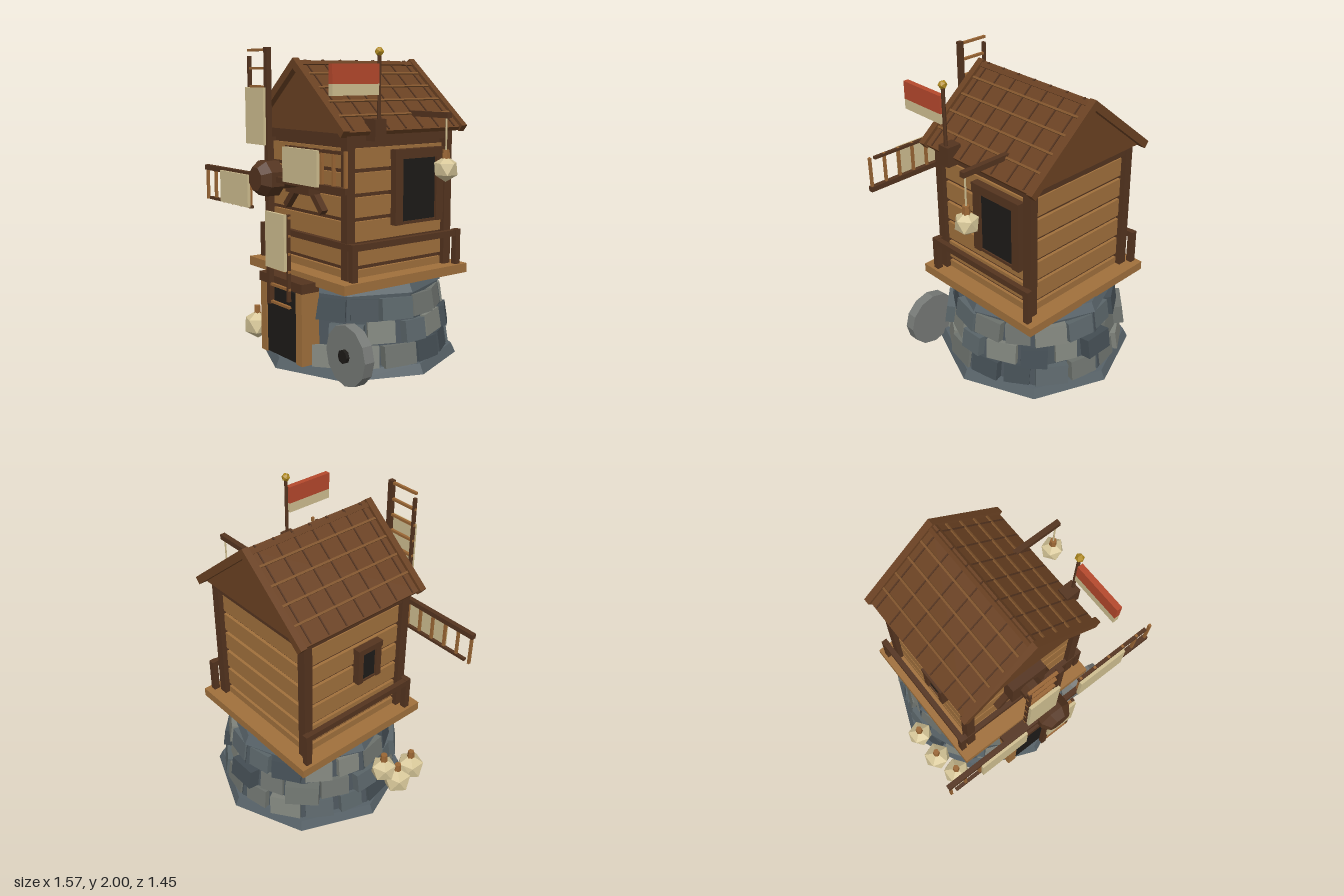
import * as THREE from 'three';

const C = {
  plank: 0xa0703c, dark: 0x54341f, roof: 0x6a4122, strip: 0x80542c, rung: 0x9a6634, canvas: 0xcfbe90,
  red: 0xb5482c, gold: 0xb08a20, black: 0x1d1b18, wall: 0x4b555b, plinth: 0x566167,
  stones: [0x80847c, 0x5c676b, 0x6f746f, 0x454f55], gourd: 0xd6c698, mill: 0x777a77,
};
const mats = {};
const mat = (c) => (mats[c] ??= new THREE.MeshStandardMaterial({ color: c, flatShading: true }));

function add(parent, name, color, geo, x = 0, y = 0, z = 0) {
  const m = new THREE.Mesh(geo, mat(color));
  m.name = name;
  m.position.set(x, y, z);
  parent.add(m);
  return m;
}
// Box given by its limits on each axis
function box(parent, name, color, x0, x1, y0, y1, z0, z1) {
  return add(parent, name, color, new THREE.BoxGeometry(x1 - x0, y1 - y0, z1 - z0),
    (x0 + x1) / 2, (y0 + y1) / 2, (z0 + z1) / 2);
}
const cyl = (rt, rb, h, n) => new THREE.CylinderGeometry(rt, rb, h, n);
function group(parent, name) {
  const g = new THREE.Group();
  g.name = name;
  parent.add(g);
  return g;
}

function gourd(parent, name, x, y, z, r) {
  const g = group(parent, name);
  g.position.set(x, y, z);
  // one corner points straight up
  const body = new THREE.IcosahedronGeometry(r, 0).rotateZ(-Math.atan(2 / (1 + Math.sqrt(5))));
  add(g, 'gourdBody', C.gourd, body);
  add(g, 'gourdStem', C.rung, cyl(0.022, 0.026, 0.06, 6), 0, r + 0.005, 0);
}

function stoneBase(root) {
  const g = group(root, 'stoneBase');
  g.position.z = -0.06;
  add(g, 'plinth', C.plinth, cyl(0.63, 0.66, 0.062, 8), 0, 0.031, 0);
  add(g, 'baseWall', C.wall, cyl(0.53, 0.598, 0.44, 8), 0, 0.28, 0);
  add(g, 'baseCap', C.plinth, cyl(0.52, 0.552, 0.06, 8), 0, 0.53, 0);
  // three staggered courses that follow the octagon
  const n = 16;
  for (let row = 0; row < 3; row++) {
    for (let i = 0; i < n; i++) {
      const a = ((i + (row % 2 ? 0 : 0.5)) / n) * Math.PI * 2;
      const y = 0.12 + row * 0.143;
      const k = (i * 7 + row * 5 + ((i * i) % 3)) % 11;
      const local = (a % (Math.PI / 4)) - Math.PI / 8;
      const r = (0.598 - 0.155 * (y - 0.06)) * Math.cos(Math.PI / 8) / Math.cos(local) + 0.002 * k - 0.025;
      const x = Math.sin(a) * r, z = Math.cos(a) * r;
      if (z > 0 && Math.abs(x) < 0.27) continue; // doorway
      const s = add(g, 'stone', C.stones[k % 4],
        new THREE.BoxGeometry(0.15 + 0.007 * k, 0.135, 0.09), x, y, z);
      s.rotation.set(-0.15, a, ((k % 3) - 1) * 0.03, 'YXZ');
    }
  }
}

function door(root) {
  const g = group(root, 'door');
  for (const s of [-1, 1])
    add(g, 'doorPost', C.plank, new THREE.BoxGeometry(0.065, 0.46, 0.13), s * 0.2, 0.29, 0.49);
  box(g, 'doorLintel', C.dark, -0.24, 0.24, 0.52, 0.58, 0.43, 0.56);
  box(g, 'doorOpening', C.black, -0.17, 0.17, 0.064, 0.505, 0.4, 0.546);
}

function house(root) {
  const g = group(root, 'house');
  g.position.z = -0.05;
  box(g, 'platform', C.plank, -0.53, 0.53, 0.555, 0.615, -0.505, 0.505);
  box(g, 'houseCore', C.dark, -0.4, 0.4, 0.615, 1.5, -0.37, 0.37);
  box(g, 'bottomPlank', C.plank, -0.42, 0.42, 0.615, 0.663, -0.39, 0.39);
  for (let i = 0; i < 5; i++) {
    const y = 0.69 + i * 0.148;
    box(g, 'wallPlank', C.plank, -0.42, 0.42, y, y + 0.122, -0.39, 0.39);
  }
  box(g, 'topBeam', C.dark, -0.445, 0.445, 1.435, 1.5, -0.42, 0.42);
  for (const x of [-1, 1]) {
    for (const z of [-1, 1]) {
      add(g, 'cornerPost', C.dark, new THREE.BoxGeometry(0.06, 0.885, 0.06), x * 0.422, 1.057, z * 0.395);
      add(g, 'railPost', C.dark, new THREE.BoxGeometry(0.04, 0.23, 0.04), x * 0.49, 0.73, z > 0 ? 0.41 : -0.44);
    }
    add(g, 'sideRail', C.dark, new THREE.BoxGeometry(0.036, 0.04, 0.89), x * 0.49, 0.822, -0.015);
  }
  box(g, 'frontRail', C.dark, -0.51, 0.51, 0.802, 0.842, 0.395, 0.43);
}

// Window on a side wall; s is the side, w and h the outer size, t the frame width
function sideWindow(root, name, s, y, z, w, h, t) {
  const g = group(root, name);
  g.position.set(s * 0.43, y, z);
  for (const k of [-1, 1]) {
    add(g, 'windowJamb', C.dark, new THREE.BoxGeometry(0.075, h, t), 0, 0, k * (w - t) / 2);
  }
  add(g, 'windowLintel', C.dark, new THREE.BoxGeometry(0.085, t, w + 0.01), 0, (h - t) / 2, 0);
  add(g, 'windowSill', C.dark, new THREE.BoxGeometry(0.06, t * 0.3, w), 0, -h / 2 + t * 0.15, 0);
  add(g, 'windowOpening', C.black, new THREE.BoxGeometry(0.04, h - t, w - 2 * t), 0, -t / 2 + 0.005, 0);
}

function roof(root) {
  const g = group(root, 'roof');
  g.position.z = -0.05;
  const tri = new THREE.Shape([[-0.46, 1.497], [0.46, 1.497], [0, 1.88]].map((p) => new THREE.Vector2(...p)));
  add(g, 'gable', C.roof, new THREE.ExtrudeGeometry(tri, { depth: 0.91, bevelEnabled: false }), 0, 0, -0.455);
  const L = 0.667;
  for (const turn of [0, Math.PI]) {
    const side = group(g, 'roofSide');
    side.rotation.y = turn;
    const slope = group(side, 'roofSlope');
    slope.position.y = 1.94;
    slope.rotation.z = -0.688;
    box(slope, 'roofPanel', C.roof, 0, L - 0.01, -0.05, -0.02, -0.48, 0.48);
    for (const z of [-1, 1])
      add(slope, 'bargeBoard', C.roof, new THREE.BoxGeometry(L, 0.05, 0.045), L / 2, -0.025, z * 0.475);
    // shingle courses and the seams between shingles
    for (let i = 1; i < 5; i++)
      box(slope, 'courseStrip', C.strip, i * 0.13 - 0.007, i * 0.13 + 0.007, -0.03, -0.011, -0.455, 0.455);
    for (let i = -3; i <= 3; i++)
      box(slope, 'seam', C.dark, 0, L - 0.02, -0.03, -0.013, i * 0.135 - 0.004, i * 0.135 + 0.004);
  }
}

function windmill(root) {
  const g = group(root, 'windmill');
  g.position.y = 1.215;
  box(g, 'axlePlate', C.dark, -0.13, 0.13, -0.115, 0.115, 0.34, 0.425);
  for (const s of [-1, 1]) {
    const b = add(g, 'axleBrace', C.dark, new THREE.BoxGeometry(0.04, 0.18, 0.05), s * 0.14, -0.15, 0.36);
    b.rotation.z = -s * -0.75;
  }
  const turned = (name, rf, rb, z0, z1) => {
    const m = add(g, name, C.dark, cyl(rf, rb, z1 - z0, 8).rotateY(Math.PI / 8), 0, 0, (z0 + z1) / 2);
    m.rotation.x = Math.PI / 2;
  };
  turned('axle', 0.075, 0.075, 0.4, 0.6);
  turned('hub', 0.115, 0.115, 0.585, 0.675);
  turned('hubNose', 0.075, 0.115, 0.675, 0.728);
  for (let i = 0; i < 4; i++) {
    const b = group(g, 'blade');
    b.rotation.z = (i * Math.PI) / 2;
    box(b, 'spar', C.dark, -0.017, 0.017, 0, 0.785, 0.612, 0.645);
    box(b, 'bladeRail', C.dark, -0.214, -0.196, 0.2, 0.735, 0.618, 0.64);
    for (let r = 0; r < 6; r++) {
      const y = 0.22 + r * 0.11;
      box(b, 'rung', C.rung, -0.216, 0.01, y - 0.008, y + 0.008, 0.62, 0.638);
    }
    box(b, 'sailCloth', C.canvas, -0.207, 0, 0.2, 0.545, 0.642, 0.662);
  }
}

function flag(root) {
  const g = group(root, 'flag');
  box(g, 'flagBracket', C.dark, 0.43, 0.533, 1.45, 1.58, 0.145, 0.23);
  add(g, 'flagPole', C.dark, cyl(0.012, 0.012, 0.46, 6), 0.513, 1.74, 0.185);
  add(g, 'poleBall', C.gold, new THREE.IcosahedronGeometry(0.029, 0), 0.513, 1.97, 0.185);
  box(g, 'flagRed', C.red, 0.495, 0.531, 1.785, 1.9, 0.2, 0.54);
  box(g, 'flagCream', C.canvas, 0.495, 0.531, 1.72, 1.785, 0.2, 0.54);
}

function hangingLantern(root) {
  const g = group(root, 'hangingLantern');
  box(g, 'lanternArm', C.dark, 0.36, 0.715, 1.58, 1.615, -0.213, -0.177);
  add(g, 'lanternRope', C.canvas, cyl(0.006, 0.006, 0.22, 5), 0.69, 1.48, -0.193);
  gourd(g, 'lantern', 0.69, 1.275, -0.193, 0.08);
}

function millstone(root) {
  const g = group(root, 'millstone');
  g.position.set(0.535, 0.192, 0.42);
  g.rotation.x = Math.PI / 2;
  add(g, 'millstoneDisc', C.mill, cyl(0.188, 0.188, 0.07, 12));
  add(g, 'millstoneHole', C.black, cyl(0.043, 0.043, 0.09, 8), 0, 0.012, 0);
}

export function createModel() {
  const root = new THREE.Group();
  root.name = 'windmillTower';
  stoneBase(root);
  door(root);
  house(root);
  sideWindow(root, 'largeWindow', 1, 1.15, -0.19, 0.4, 0.47, 0.06);
  sideWindow(root, 'smallWindow', -1, 1.12, 0.04, 0.19, 0.26, 0.04);
  roof(root);
  windmill(root);
  flag(root);
  hangingLantern(root);
  millstone(root);
  gourd(root, 'gourdUpper', -0.637, 0.34, 0.04, 0.09);
  gourd(root, 'gourdMiddle', -0.62, 0.13, 0.2, 0.1);
  gourd(root, 'gourdFront', -0.575, 0.11, 0.375, 0.1);
  return root;
}
